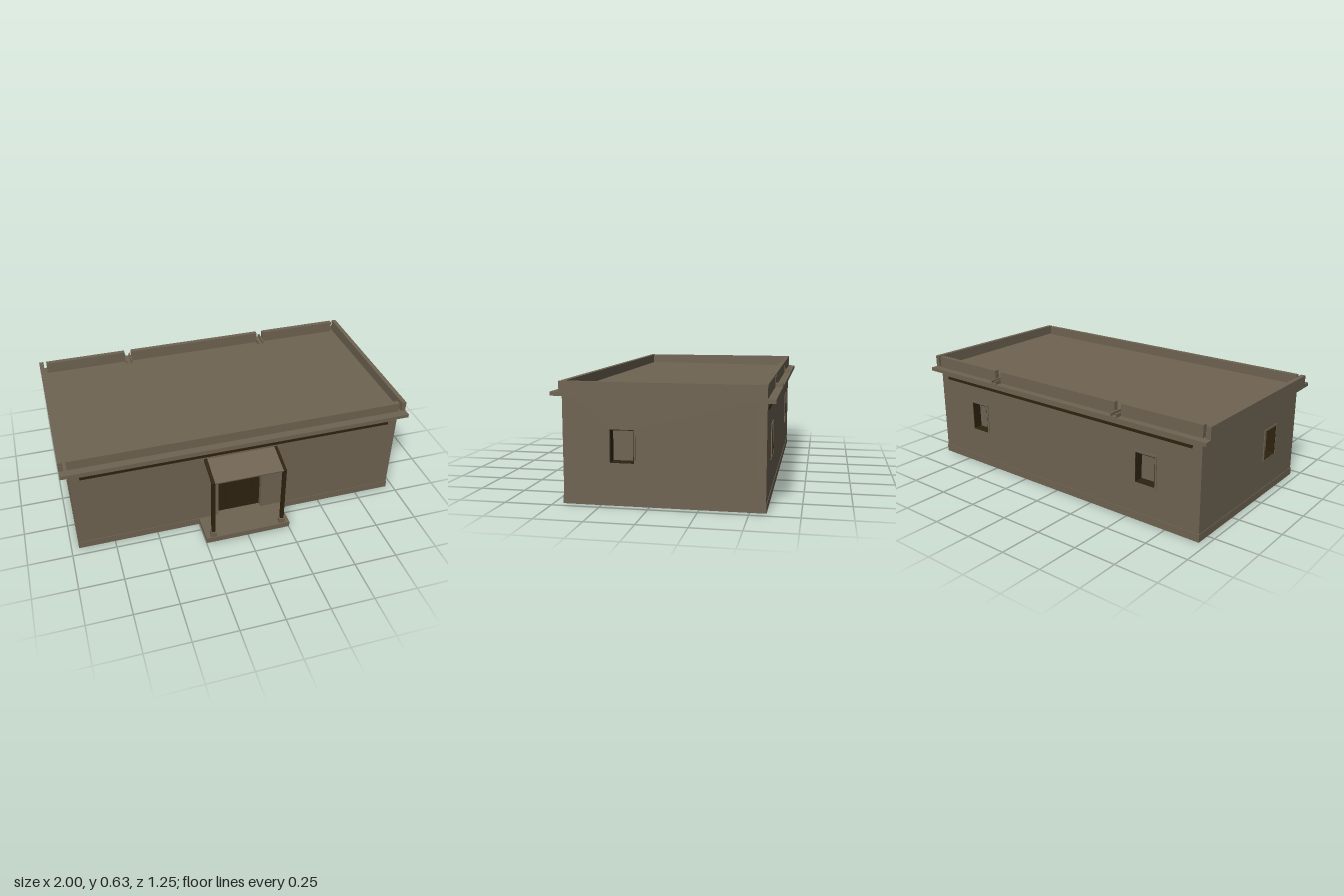
import * as THREE from 'three';

const plaster = new THREE.MeshStandardMaterial({ color: 0x6f6452 });
plaster.name = 'plaster';
const darkWood = new THREE.MeshStandardMaterial({ color: 0x2e2310 });
darkWood.name = 'darkWood';

// Box given by its [min, max] on each axis
function block(parent, name, mat, [x0, x1], [y0, y1], [z0, z1]) {
  const m = new THREE.Mesh(new THREE.BoxGeometry(x1 - x0, y1 - y0, z1 - z0), mat);
  m.position.set((x0 + x1) / 2, (y0 + y1) / 2, (z0 + z1) / 2);
  m.name = name;
  parent.add(m);
  return m;
}

// Rectangle path for shapes and holes
function rect(path, x0, x1, y0, y1) {
  path.moveTo(x0, y0);
  path.lineTo(x1, y0);
  path.lineTo(x1, y1);
  path.lineTo(x0, y1);
  path.closePath();
  return path;
}

// Extruded rectangle with rectangular holes
function pierced(parent, name, mat, outer, holes, z0, z1) {
  const shape = rect(new THREE.Shape(), ...outer);
  holes.forEach(h => shape.holes.push(rect(new THREE.Path(), ...h)));
  const geo = new THREE.ExtrudeGeometry(shape, { depth: z1 - z0, bevelEnabled: false });
  const m = new THREE.Mesh(geo, mat);
  m.position.z = z0;
  m.name = name;
  parent.add(m);
}

const WALL = 0.05, WALL_TOP = 0.555;

// One facade: local z = 0 is the outer face, local +z points outwards
function facade(parent, name, width, windows, doors, turn, x, z) {
  const g = new THREE.Group();
  g.name = name;
  const openings = windows.map(c => [c - 0.062, c + 0.062, 0.22, 0.39]);
  pierced(g, 'wall', plaster, [-width / 2, width / 2, 0, WALL_TOP], [...openings, ...doors], -WALL, 0);
  openings.forEach(([a, b, c, d]) => {
    pierced(g, 'windowTrim', plaster, [a - 0.01, b + 0.01, c - 0.01, d + 0.01], [[a, b, c, d]], 0, 0.005);
    pierced(g, 'windowLining', darkWood, [a, b, c, d],
      [[a + 0.004, b - 0.004, c + 0.004, d - 0.004]], -WALL, 0.003);
  });
  g.rotation.y = turn;
  g.position.set(x, 0, z);
  parent.add(g);
  return g;
}

export function createModel() {
  const house = new THREE.Group();
  house.name = 'flatRoofHouse';

  // Inner core closes the window recesses; plinth runs round the base
  block(house, 'core', plaster, [-0.906, 0.906], [0.002, 0.55], [-0.531, 0.398]);
  block(house, 'plinth', plaster, [-0.958, 0.958], [0, 0.043], [-0.583, 0.45]);

  // Walls
  const front = facade(house, 'frontFacade', 1.91, [], [[-0.13, 0.13, 0.04, 0.4]], 0, 0, 0.447);
  const back = facade(house, 'backFacade', 1.91, [-0.62, 0.62], [], Math.PI, 0, -0.58);
  for (const s of [1, -1])
    facade(house, 'sideFacade', 0.927, [-s * 0.206], [], s * Math.PI / 2, s * 0.955, -0.0665);

  // Timber strips under the eaves
  block(front, 'eavesStrip', darkWood, [-0.9, 0.9], [0.495, 0.512], [-0.01, 0.002]);
  block(back, 'eavesStrip', darkWood, [-0.9, 0.9], [0.495, 0.512], [-0.01, 0.001]);

  // Plank door with its surround
  for (let i = 0; i < 5; i++) {
    const x = -0.13 + i * 0.052;
    block(front, 'doorPlank', darkWood, [x + 0.001, x + 0.051], [0.043, 0.4], [-0.048, -0.03]);
  }
  block(front, 'doorBacking', darkWood, [-0.13, 0.13], [0.043, 0.4], [-0.049, -0.036]);
  block(front, 'doorLintel', plaster, [-0.137, 0.137], [0.4, 0.43], [-0.01, 0.003]);
  block(front, 'awningLedger', plaster, [-0.235, 0.235], [0.434, 0.481], [-0.01, 0.004]);

  // Porch step, pedestals and posts
  block(house, 'porchStep', plaster, [-0.25, 0.25], [0.01, 0.043], [0.44, 0.623]);
  for (const x of [-0.206, 0.206]) {
    block(house, 'postPedestal', plaster, [x - 0.016, x + 0.016], [0.043, 0.075], [0.587, 0.618]);
    block(house, 'porchPost', darkWood, [x - 0.01, x + 0.01], [0.075, 0.432], [0.593, 0.611]);
  }

  // Sloping awning carried by two rafters
  const awning = new THREE.Group();
  awning.name = 'awning';
  block(awning, 'awningPanel', plaster, [-0.198, 0.198], [-0.005, 0.004], [-0.085, 0.085]);
  for (const x of [-0.206, 0.206])
    block(awning, 'rafter', darkWood, [x - 0.009, x + 0.009], [-0.006, 0.006], [-0.087, 0.087]);
  awning.position.set(0, 0.457, 0.53);
  awning.rotation.x = 0.266;
  house.add(awning);

  // Roof slab falling gently to the back
  const slab = block(house, 'roofSlab', plaster, [-1, 1], [0.55, 0.57], [-0.623, 0.493]);
  slab.rotation.x = -0.0125;

  // Parapets, with gaps at the back for the spouts
  const top = 0.631;
  block(house, 'frontParapet', plaster, [-0.957, 0.957], [0.56, top], [0.42, 0.447]);
  for (const [a, b] of [[-0.957, -0.465], [-0.422, 0.422], [0.465, 0.957]])
    block(house, 'backParapet', plaster, [a, b], [0.55, top], [-0.583, -0.556]);
  for (const s of [1, -1])
    block(house, 'sideParapet', plaster, s > 0 ? [0.974, 1] : [-1, -0.974], [0.56, top], [-0.583, 0.447]);

  // Open drainage spouts
  for (const x of [-0.4435, 0.4435]) {
    block(house, 'spoutBase', plaster, [x - 0.0215, x + 0.0215], [0.545, 0.567], [-0.622, -0.527]);
    for (const s of [-1, 1]) {
      const c = x + s * 0.0165;
      block(house, 'spoutCheek', plaster, [c - 0.005, c + 0.005], [0.55, 0.584], [-0.622, -0.527]);
    }
  }
  return house;
}
